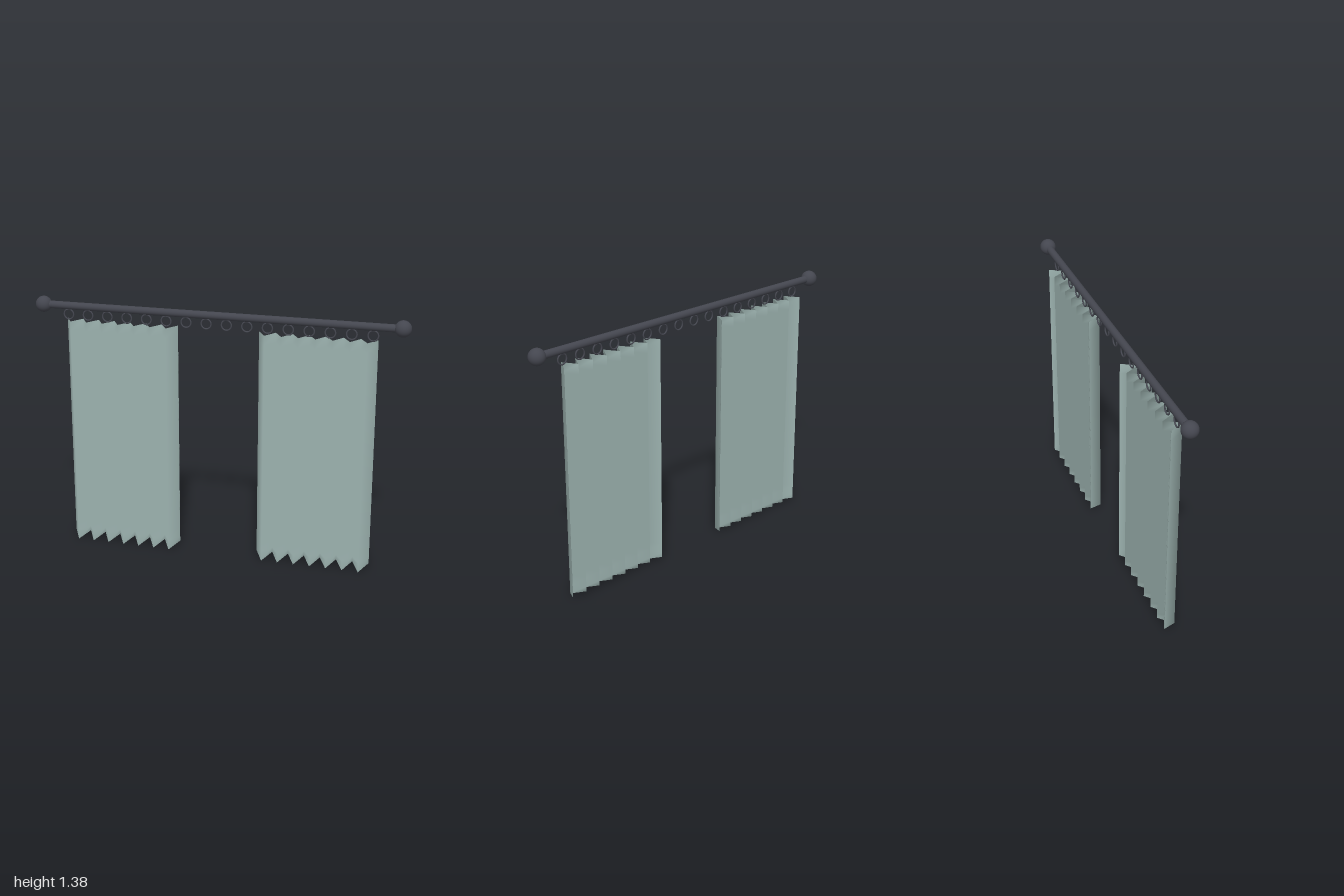
import * as THREE from 'three';
import { mergeVertices } from 'three/addons/utils/BufferGeometryUtils.js';

const ROD_Y = 1.333, TOP = 1.256, PLEATS = 7, WIDTH = 0.616, DEPTH = 0.037, THICK = 0.005, ROWS = 24;

// Thin closed sheet folded into a zigzag, with a hem that dips at the front folds
function panelGeometry() {
  const box = new THREE.BoxGeometry(WIDTH, TOP, THICK, PLEATS * 2, ROWS, 1);
  box.deleteAttribute('uv');
  box.deleteAttribute('normal');
  const geo = mergeVertices(box, 1e-5);
  const p = geo.attributes.position;
  const step = WIDTH / (PLEATS * 2);
  for (let i = 0; i < p.count; i++) {
    const column = Math.round((p.getX(i) + WIDTH / 2) / step);
    const fold = column % 2 ? 1 : -1;
    const y = p.getY(i) + TOP / 2;
    p.setZ(i, p.getZ(i) + fold * DEPTH);
    p.setY(i, y < 1e-4 && fold < 0 ? 0.025 : y);
  }
  geo.computeVertexNormals();
  return geo;
}

export function createModel() {
  const model = new THREE.Group();
  const metal = new THREE.MeshStandardMaterial({ color: 0x44464f });
  metal.name = 'dark metal';
  const fabric = new THREE.MeshStandardMaterial({ color: 0x9cb2af });
  fabric.name = 'grey green fabric';

  const add = (name, geometry, material, x, y) => {
    const mesh = new THREE.Mesh(geometry, material);
    mesh.name = name;
    mesh.position.set(x, y, 0);
    model.add(mesh);
  };

  // Rod and ball ends
  add('rod', new THREE.CylinderGeometry(0.02, 0.02, 1.914, 24).rotateZ(Math.PI / 2), metal, 0, ROD_Y);
  const ball = new THREE.SphereGeometry(0.043, 32, 20);
  add('leftFinial', ball, metal, 0.957, ROD_Y);
  add('rightFinial', ball, metal, -0.957, ROD_Y);

  // Evenly spaced hanging rings
  const ring = new THREE.TorusGeometry(0.0265, 0.004, 10, 28);
  for (let i = 0; i < 16; i++) add('ring' + (i + 1), ring, metal, -0.816 + i * 0.1084, 1.286);

  // Two pleated curtains
  const panel = panelGeometry();
  add('leftCurtain', panel, fabric, 0.524, 0);
  add('rightCurtain', panel, fabric, -0.53, 0);
  return model;
}
